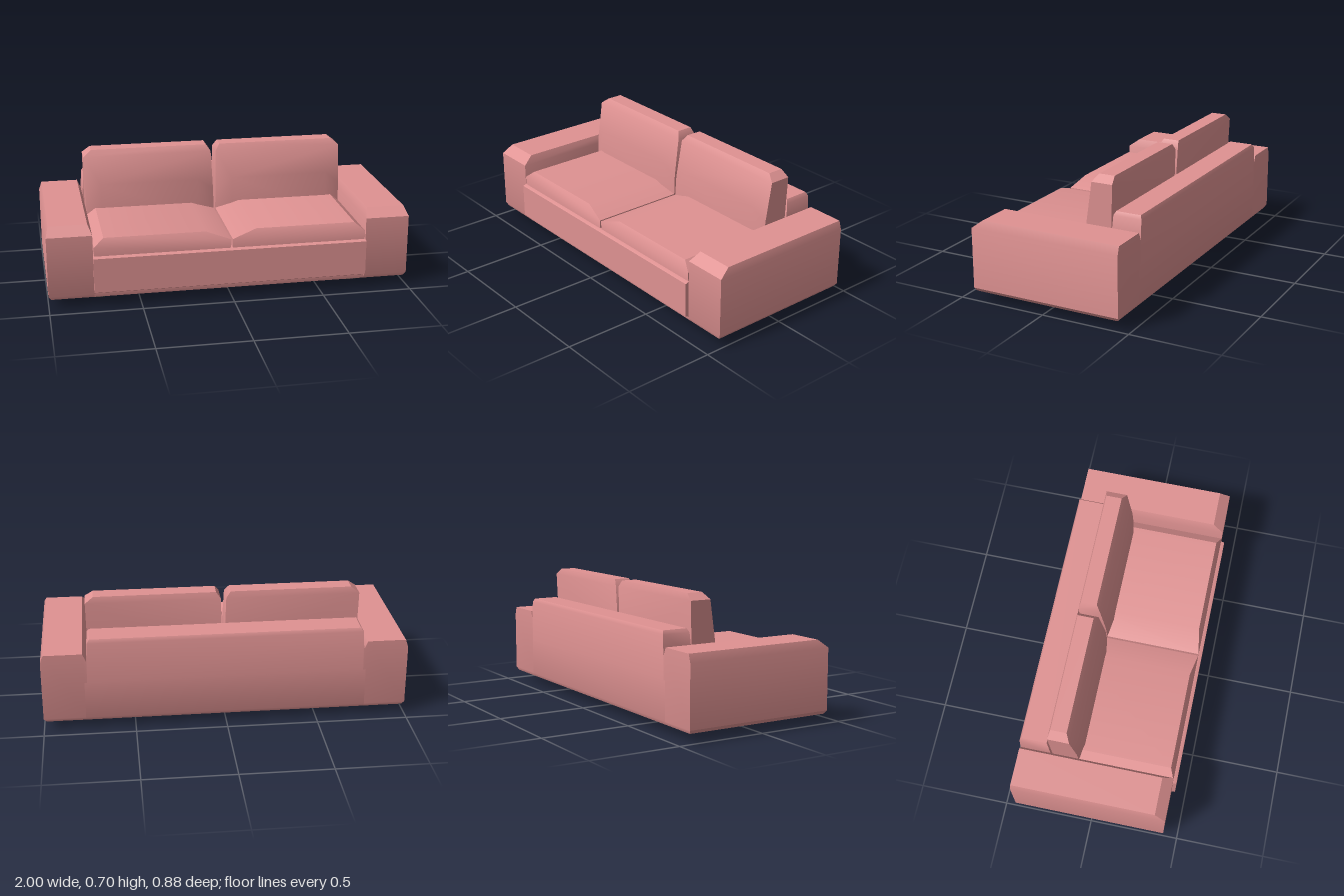
import * as THREE from 'three';
import { ConvexGeometry } from 'three/addons/geometries/ConvexGeometry.js';
import { toCreasedNormals } from 'three/addons/utils/BufferGeometryUtils.js';

const fabric = new THREE.MeshStandardMaterial({ color: 0xdf9292 });
const wood = new THREE.MeshStandardMaterial({ color: 0x7d6f65 });

// Bevelled solid from stacked rectangles [y, x0, x1, z0, z1] plus optional bulge points
function solid(name, rings, material = fabric, extra = []) {
  const points = extra.map((p) => new THREE.Vector3(...p));
  for (const [y, x0, x1, z0, z1] of rings) {
    for (const x of [x0, x1]) for (const z of [z0, z1]) points.push(new THREE.Vector3(x, y, z));
  }
  const mesh = new THREE.Mesh(toCreasedNormals(new ConvexGeometry(points), 0.6), material);
  mesh.name = name;
  return mesh;
}

// Swap a [y, x0, x1, z0, z1] ring to the other side of x = 0
const flipRing = ([y, x0, x1, z0, z1]) => [y, -x1, -x0, z0, z1];
const flipPoint = ([x, y, z]) => [-x, y, z];

export function createModel() {
  const sofa = new THREE.Group();
  sofa.name = 'sofa';

  // Frame: base, front panel and low backrest
  sofa.add(
    solid('base', [
      [0.05, -0.77, 0.77, -0.43, 0.41],
      [0.07, -0.77, 0.77, -0.44, 0.415],
      [0.28, -0.77, 0.77, -0.44, 0.415],
    ]),
    solid('frontPanel', [
      [0.075, -0.755, 0.755, 0.38, 0.42],
      [0.085, -0.755, 0.755, 0.38, 0.44],
      [0.278, -0.755, 0.755, 0.38, 0.44],
      [0.286, -0.755, 0.755, 0.38, 0.42],
    ]),
    solid('backrest', [
      [0.27, -0.755, 0.755, -0.44, -0.272],
      [0.405, -0.755, 0.755, -0.44, -0.272],
      [0.51, -0.748, 0.748, -0.44, -0.28],
      [0.53, -0.735, 0.735, -0.43, -0.29],
    ])
  );

  // Parts repeated on both sides, given for the +x side
  for (const [side, mirrored] of [['left', false], ['right', true]]) {
    const add = (part, rings, material, extra = []) =>
      sofa.add(solid(side + part, mirrored ? rings.map(flipRing) : rings, material,
        mirrored ? extra.map(flipPoint) : extra));

    add('Arm', [
      [0.05, 0.755, 0.985, -0.43, 0.41],
      [0.07, 0.755, 1, -0.44, 0.42],
      [0.405, 0.755, 1, -0.44, 0.42],
      [0.45, 0.775, 0.985, -0.44, 0.36],
    ], fabric);

    // Seat cushion: top falls gently to the middle seam
    add('SeatCushion', [
      [0.27, 0.005, 0.75, -0.26, 0.42],
      [0.335, 0.005, 0.75, -0.26, 0.42],
      [0.38, 0.14, 0.695, -0.2, 0.395],
    ], fabric);

    // Back cushion: leaning front that bulges between its side edges
    add('BackCushion', [
      [0.3, 0.004, 0.745, -0.262, -0.115],
      [0.45, 0.007, 0.747, -0.265, -0.122],
      [0.67, 0.015, 0.75, -0.275, -0.155],
      [0.705, 0.04, 0.705, -0.266, -0.177],
    ], fabric, [[0.1, 0.3, -0.098], [0.66, 0.3, -0.098], [0.1, 0.52, -0.098], [0.66, 0.52, -0.098]]);

    // Feet, tapered towards the floor
    for (const [end, z] of [['Front', 0.275], ['Back', -0.29]]) {
      add(end + 'Foot', [
        [0, 0.69, 0.745, z - 0.023, z + 0.023],
        [0.01, 0.683, 0.752, z - 0.03, z + 0.03],
        [0.055, 0.66, 0.755, z - 0.03, z + 0.03],
      ], wood);
    }
  }
  return sofa;
}
